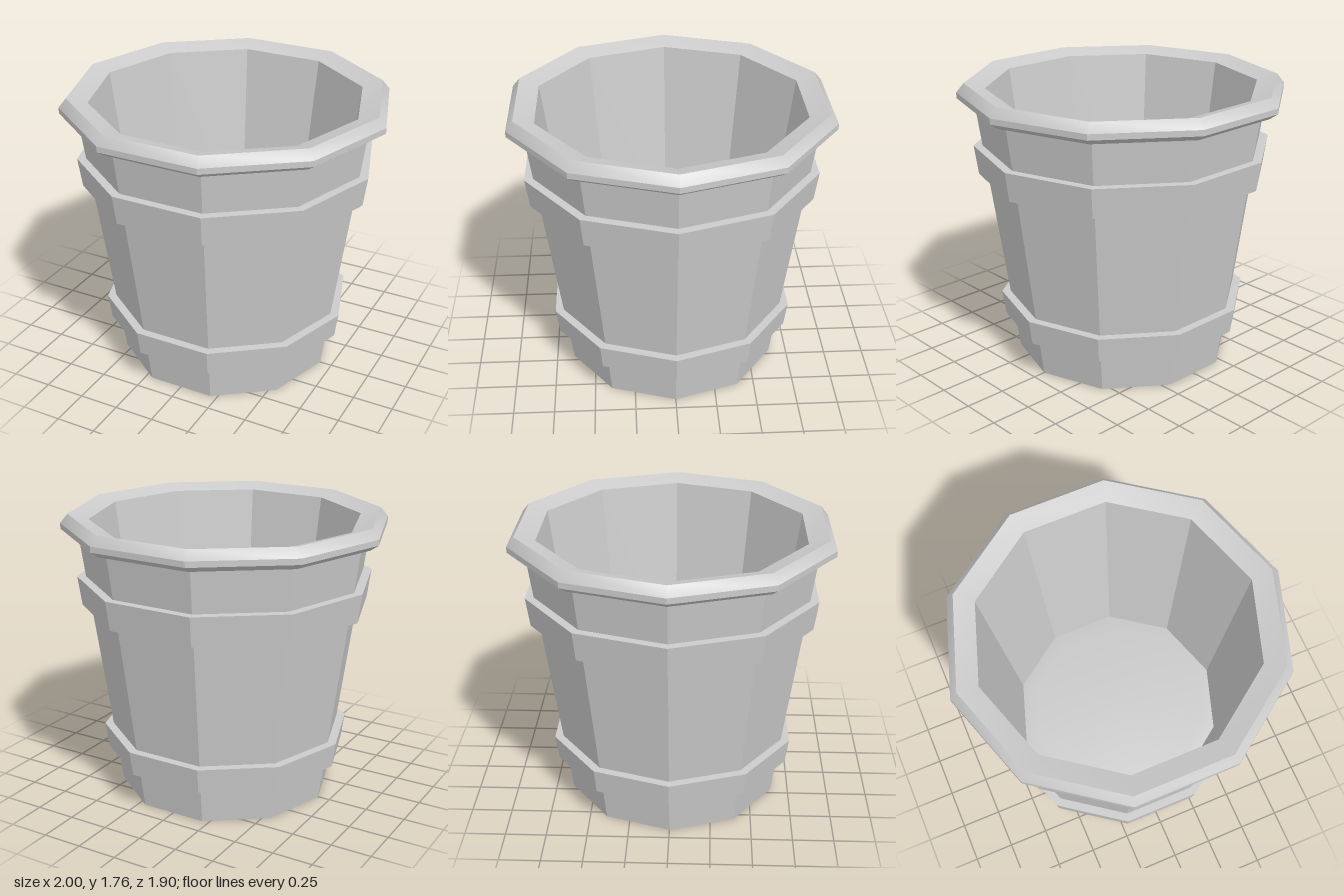
import * as THREE from 'three';
import { toCreasedNormals } from 'three/addons/utils/BufferGeometryUtils.js';

const SIDES = 10;
const material = new THREE.MeshStandardMaterial({ color: 0xcccccc });

// Ten-sided turned part from [radius, height] pairs, with a corner on the x axis
function turned(name, profile) {
  const points = profile.map(([r, y]) => new THREE.Vector2(r, y));
  const lathe = new THREE.LatheGeometry(points, SIDES, Math.PI / 2);
  const mesh = new THREE.Mesh(toCreasedNormals(lathe, Math.PI / 6), material);
  mesh.name = name;
  return mesh;
}

// Radius of the tapering outer wall at height y
const wallRadius = (y) => 0.672 + 0.137 * y;

// Raised hoop that follows the taper of the wall
function band(name, y0, y1) {
  const proud = 0.054;
  return turned(name, [
    [wallRadius(y0), y0],
    [wallRadius(y0) + proud, y0],
    [wallRadius(y1) + proud, y1],
    [wallRadius(y1), y1],
  ]);
}

export function createModel() {
  const pot = new THREE.Group();
  pot.name = 'flowerPot';

  // Outer wall with a flat base
  pot.add(turned('outerWall', [[0, 0], [wallRadius(0), 0], [wallRadius(1.635), 1.635]]));

  // Hoops
  pot.add(band('lowerBand', 0.235, 0.39));
  pot.add(band('upperBand', 1.19, 1.37));

  // Rim with bevelled edges, sloping slightly down to the opening
  pot.add(turned('rim', [
    [wallRadius(1.635), 1.635], [0.95, 1.635], [1, 1.67], [1, 1.705], [0.955, 1.76], [0.83, 1.725],
  ]));

  // Inside wall
  pot.add(turned('innerWall', [[0.83, 1.725], [0.655, 0.45]]));

  // Gently raised floor
  pot.add(turned('innerFloor', [[0.655, 0.45], [0.57, 0.465], [0, 0.47]]));

  return pot;
}
